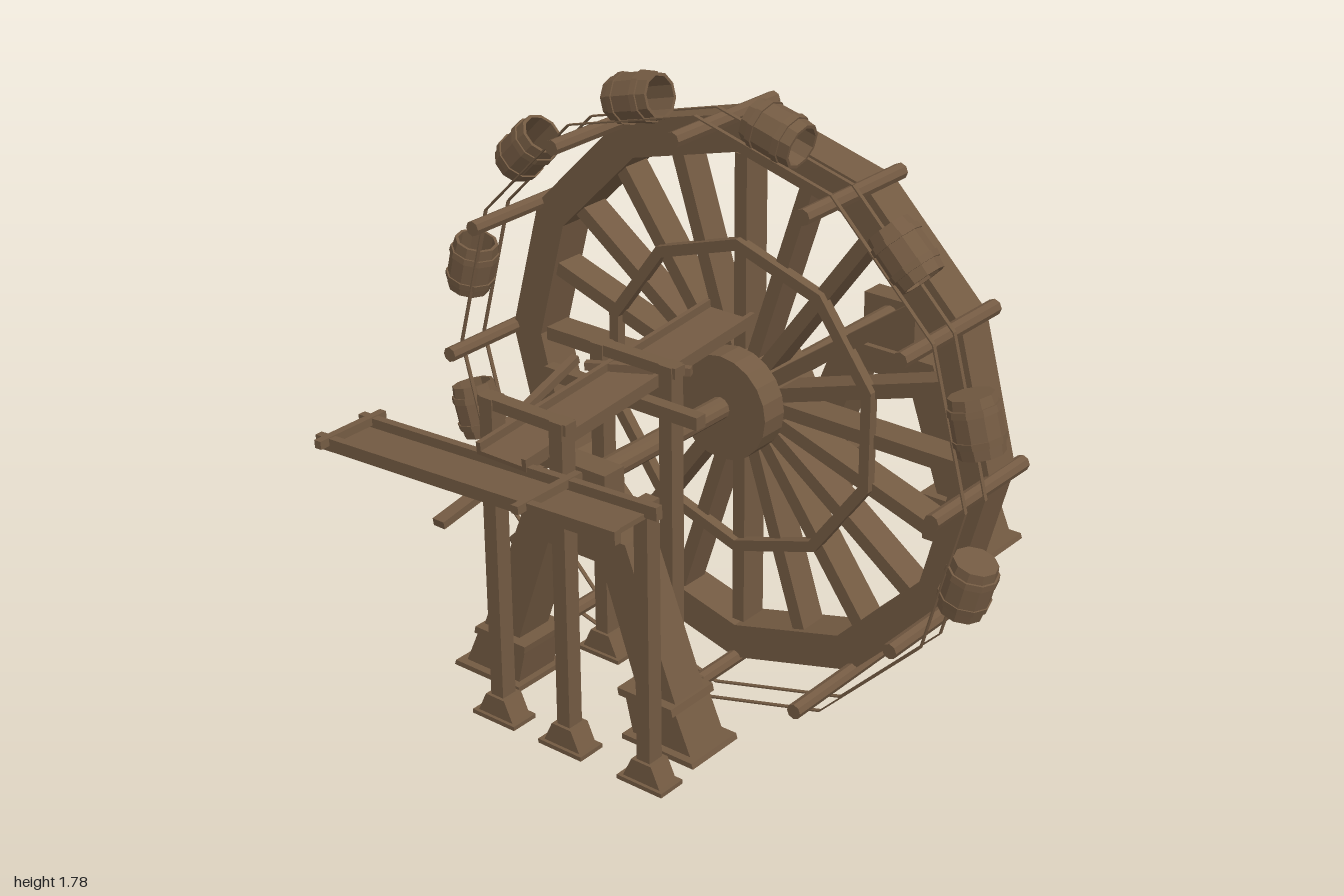
import * as THREE from 'three';

const AXLE_Y = 0.857;

export function createModel() {
  const root = new THREE.Group();
  root.name = 'waterWheel';
  const wood = new THREE.MeshStandardMaterial({ color: 0x735a42, flatShading: true });
  wood.name = 'wood';

  const add = (name, geo, parent = root) => {
    const m = new THREE.Mesh(geo, wood);
    m.name = name;
    parent.add(m);
    return m;
  };
  const group = (name, parent = root) => {
    const g = new THREE.Group();
    g.name = name;
    parent.add(g);
    return g;
  };
  const box = (name, w, h, d, x, y, z, parent) => {
    const m = add(name, new THREE.BoxGeometry(w, h, d), parent);
    m.position.set(x, y, z);
    return m;
  };
  // square timber running between two points
  const beam = (name, a, b, w, h, parent) => {
    const from = new THREE.Vector3(...a), to = new THREE.Vector3(...b);
    const m = add(name, new THREE.BoxGeometry(w, h, from.distanceTo(to)), parent);
    m.position.copy(from).lerp(to, 0.5);
    m.lookAt(to);
    return m;
  };
  const rod = (name, r, x0, x1, sides, parent) => {
    const m = add(name, new THREE.CylinderGeometry(r, r, x1 - x0, sides).rotateZ(Math.PI / 2), parent);
    m.position.x = (x0 + x1) / 2;
    return m;
  };
  const polygon = (r, n, start) => Array.from({ length: n }, (_, i) => {
    const a = start + (i / n) * Math.PI * 2;
    return new THREE.Vector2(Math.cos(a) * r, Math.sin(a) * r);
  });
  // (z, y) outline extruded along x, centred on x
  const slab = (name, pts, x, width, parent, hole) => {
    const s = new THREE.Shape(pts.map((p) => new THREE.Vector2(-p.x, p.y)));
    if (hole) s.holes.push(new THREE.Path(hole));
    const g = new THREE.ExtrudeGeometry(s, { depth: width, bevelEnabled: false });
    g.translate(0, 0, -width / 2).rotateY(Math.PI / 2);
    const m = add(name, g, parent);
    m.position.x = x;
    return m;
  };
  const outline = (...c) => c.map(([z, y]) => new THREE.Vector2(z, y));

  // ---- wheel ----
  const wheel = group('wheel');
  wheel.position.y = AXLE_Y;
  slab('rim', polygon(0.815, 12, 0), 0.19, 0.12, wheel, polygon(0.71, 12, 0));
  slab('innerRing', polygon(0.468, 10, Math.PI / 2), 0.14, 0.03, wheel, polygon(0.435, 10, Math.PI / 2));
  rod('hub', 0.152, 0.06, 0.295, 20, wheel);
  rod('axle', 0.032, -0.47, 0.88, 12, wheel);

  for (let i = 0; i < 20; i++) {
    const a = (i / 20) * Math.PI * 2, c = Math.cos(a), s = Math.sin(a);
    const spoke = box('spoke', 0.09, 0.04, 0.6, 0.19, s * 0.4, c * 0.4, wheel);
    spoke.rotation.x = -a;
  }

  // pegs across the rim and the paired ropes slung over them
  const edge = 2 * 0.855 * Math.sin(Math.PI / 12);
  for (let i = 0; i < 12; i++) {
    const a = (i / 12) * Math.PI * 2;
    const peg = rod('peg', 0.022, -0.14, 0.285, 8, wheel);
    peg.position.y = Math.sin(a) * 0.815;
    peg.position.z = Math.cos(a) * 0.815;
    const b = a + Math.PI / 12, r = 0.855 * Math.cos(Math.PI / 12);
    for (const x of [-0.046, 0.046]) {
      const rope = box('rope', 0.012, 0.004, edge, x, Math.sin(b) * r, Math.cos(b) * r, wheel);
      rope.rotation.x = Math.PI / 2 - b;
    }
  }

  // open buckets with hoops, mouth pointing along the turn
  const bucketGeo = new THREE.LatheGeometry([
    [0, -0.078], [0.06, -0.078], [0.064, -0.052], [0.07, -0.052], [0.072, -0.034], [0.067, -0.034],
    [0.068, 0.03], [0.072, 0.03], [0.07, 0.048], [0.065, 0.048], [0.062, 0.078],
    [0.053, 0.078], [0.053, -0.06], [0, -0.06],
  ].map(([x, y]) => new THREE.Vector2(x, y)), 10);
  for (let k = 0; k < 12; k++) {
    const deg = 15 + 30 * k;
    if (deg > 250 && deg < 320) continue;
    const a = THREE.MathUtils.degToRad(deg);
    const bucket = add('bucket', bucketGeo, wheel);
    bucket.position.set(0, Math.sin(a) * 0.875, Math.cos(a) * 0.875);
    bucket.rotation.x = Math.PI - a;
  }

  // ---- axle stands ----
  for (const x of [-0.487, 0.903]) {
    const stand = group('axleStand');
    box('bearingBlock', 0.076, 0.17, 0.18, x, 0.825, 0, stand);
    slab('legs', outline([0.17, 0.75], [0.37, 0.24], [0.24, 0.24], [0.09, 0.67],
      [-0.09, 0.67], [-0.24, 0.24], [-0.37, 0.24], [-0.17, 0.75]), x, 0.115, stand);
    for (const s of [1, -1]) {
      const pts = (...c) => outline(...c.map(([z, y]) => [z * s, y]));
      slab('footSocket', pts([0.39, 0.21], [0.335, 0.335], [0.17, 0.335], [0.2, 0.21]), x, 0.14, stand);
      slab('footLip', pts([0.343, 0.322], [0.338, 0.343], [0.16, 0.343], [0.164, 0.322]), x, 0.17, stand);
      slab('footPlate', pts([0.415, 0.2], [0.41, 0.215], [0.18, 0.215], [0.18, 0.2]), x, 0.185, stand);
    }
  }

  // ---- trough posts ----
  const post = (x, z, top, parent) => {
    box('post', 0.048, top - 0.22, 0.042, x, (top + 0.22) / 2, z, parent);
    slab('postFoot', outline([z + 0.06, 0.21], [z + 0.032, 0.27], [z - 0.032, 0.27], [z - 0.06, 0.21]), x, 0.066, parent);
    box('postFootPlate', 0.085, 0.012, 0.145, x, 0.206, z, parent);
  };
  const posts = group('troughPosts');
  for (const x of [-0.686, -0.266]) {
    for (const z of [-0.135, 0.095]) post(x, z, 1.13, posts);
    box('crossBeam', 0.04, 0.03, 0.29, x, 1.115, -0.02, posts);
    box('troughBearer', 0.03, 0.03, 0.27, x, x < -0.5 ? 1.01 : 1.045, -0.02, posts);
  }
  post(-0.686, 0.36, 1.0, posts);

  // ---- sloping feed trough along x ----
  const feed = group('feedTrough');
  feed.position.set(-0.325, 1.068, -0.02);
  feed.rotation.z = Math.atan2(0.08, 0.91);
  box('feedFloor', 0.915, 0.012, 0.16, 0, -0.008, 0, feed);
  for (const z of [-0.075, 0.075]) box('feedSide', 0.915, 0.035, 0.014, 0, 0.003, z, feed);

  // ---- outlet trough along z ----
  const outlet = group('outletTrough');
  outlet.position.set(-0.842, 1.0, -0.025);
  outlet.rotation.x = -0.05;
  box('outletFloor', 0.15, 0.014, 0.91, 0, -0.01, 0, outlet);
  for (const x of [-0.075, 0.075]) box('outletRail', 0.022, 0.035, 0.985, x, 0.005, 0, outlet);
  for (const z of [-0.455, 0.21]) box('outletBar', 0.23, 0.022, 0.022, 0, 0.014, z, outlet);

  // ---- loose bracing poles ----
  const poles = group('bracingPoles');
  box('restBar', 0.036, 0.036, 0.51, -0.312, 1.022, -0.025, poles);
  beam('sidePole', [-0.73, 0.95, -0.175], [-0.29, 1.07, -0.205], 0.022, 0.022, poles);
  beam('slantPole', [-0.315, 1.075, -0.15], [-0.2, 1.09, 0.11], 0.022, 0.022, poles);
  beam('outletPole', [-1.0, 0.937, -0.025], [-0.72, 0.985, -0.025], 0.036, 0.02, poles);

  return root;
}
